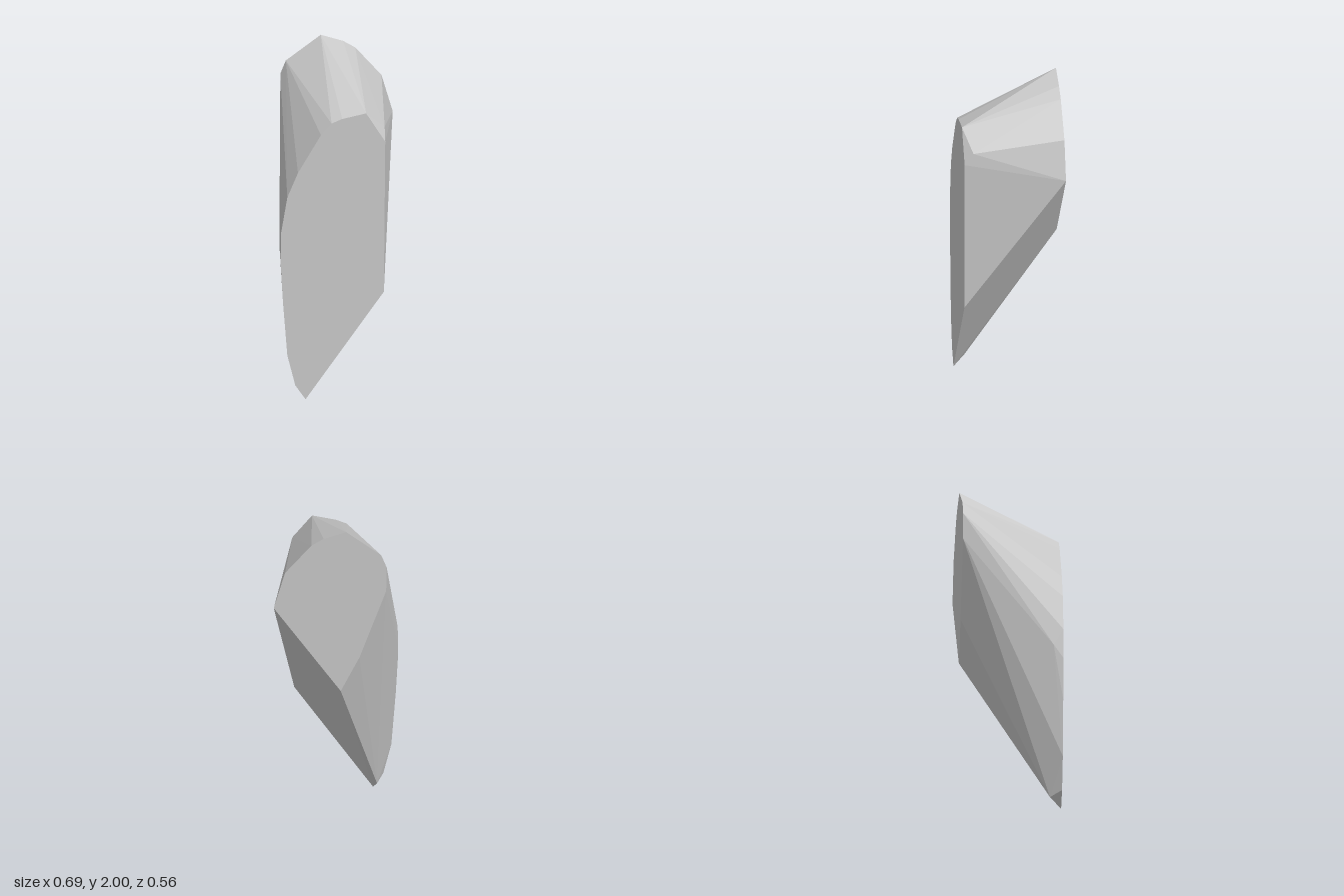
import * as THREE from 'three';
import { ConvexGeometry } from 'three/addons/geometries/ConvexGeometry.js';

export function createModel() {
  const group = new THREE.Group();
  group.name = 'shard';
  const stone = new THREE.MeshStandardMaterial({ color: 0xc8c8c8 });
  stone.name = 'pale grey stone';

  const depth = 0.28;
  // outline of the flat front face
  const front = [
    [-0.207, 0], [-0.265, 0.09], [-0.31, 0.28], [-0.335, 0.62], [-0.348, 0.87],
    [-0.345, 1.05], [-0.31, 1.27], [-0.25, 1.42], [-0.12, 1.65], [-0.06, 1.72],
    [0, 1.745], [0.135, 1.773], [0.243, 1.59], [0.235, 0.65],
  ];
  // outline of the smaller, raised back face
  const back = [
    [-0.03, 0.96], [-0.135, 1.18], [-0.285, 1.615], [-0.288, 1.77], [-0.257, 1.85],
    [-0.06, 2], [0.066, 1.955], [0.135, 1.91], [0.283, 1.73], [0.346, 1.5],
  ];
  // small chipped corners just behind the front face
  const chips = [[-0.23, 0.06, 0.215], [-0.349, 0.95, 0.225], [0.245, 1.66, 0.23]];

  const points = [
    ...front.map(([x, y]) => new THREE.Vector3(x, y, depth)),
    ...back.map(([x, y]) => new THREE.Vector3(x, y, -depth)),
    ...chips.map((p) => new THREE.Vector3(...p)),
  ];
  const body = new THREE.Mesh(new ConvexGeometry(points), stone);
  body.name = 'shardBody';
  group.add(body);
  return group;
}
